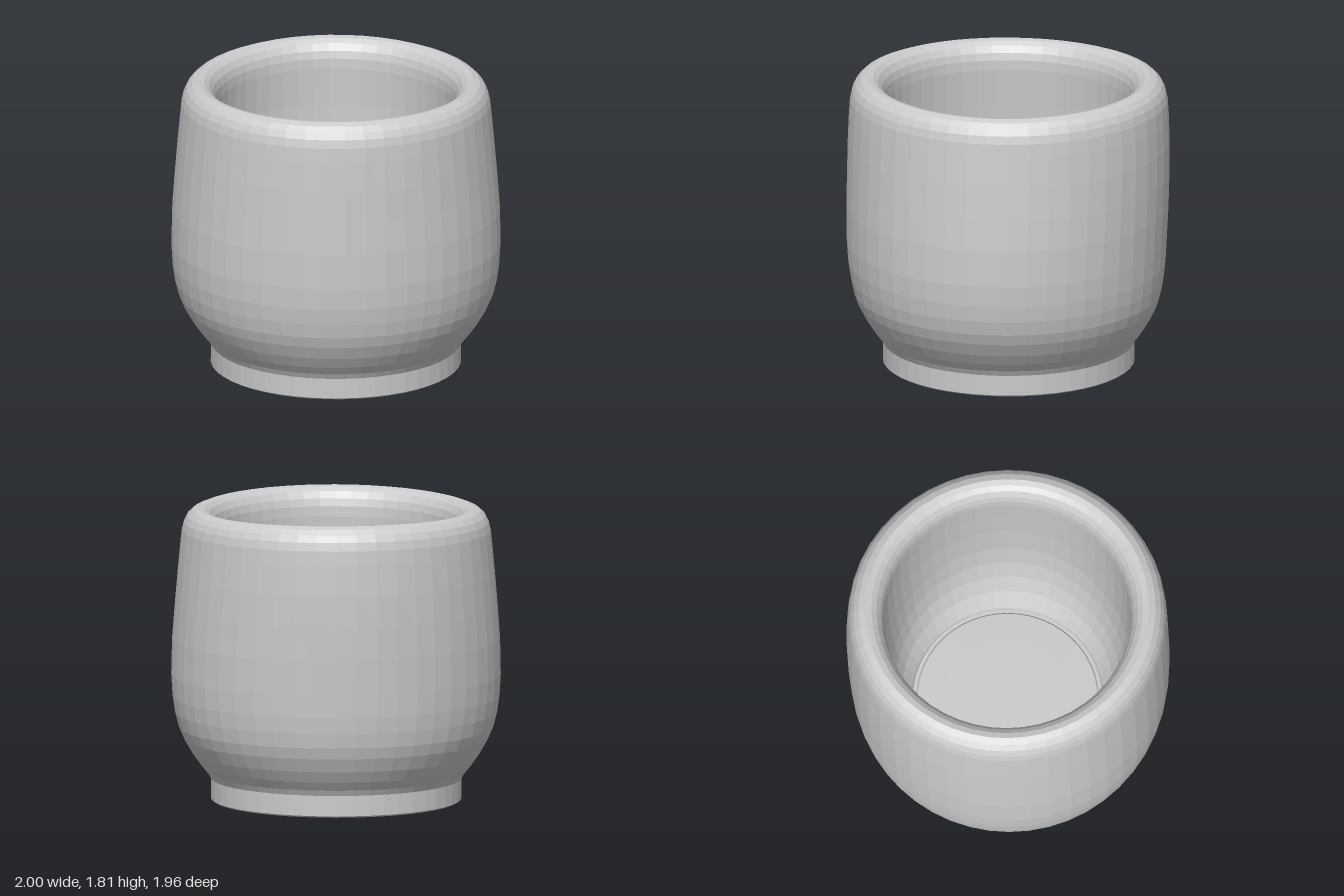
import * as THREE from 'three';

const SEGMENTS = 48;

// Stretch along z by height: slightly narrow at the belly, wider at the rim and foot
const zStretch = (y) => {
  const { smoothstep, lerp } = THREE.MathUtils;
  return y < 0.8
    ? lerp(1.005, 0.97, smoothstep(y, 0.1, 0.6))
    : lerp(0.97, 1.03, smoothstep(y, 0.7, 1.75));
};

// Turned surface, made a little oval and uneven like a hand-thrown pot
function turned(name, profile, material) {
  const geometry = new THREE.LatheGeometry(
    profile.map(([r, y]) => new THREE.Vector2(r, y)), SEGMENTS);
  const p = geometry.attributes.position;
  for (let i = 0; i < p.count; i++) {
    const x = p.getX(i), y = p.getY(i), z = p.getZ(i);
    const angle = Math.atan2(x, z);
    const lean = -0.008 + 0.013 * Math.exp(-(((y - 0.75) / 0.4) ** 2));
    const wave = y > 1.5 ? 0.007 * Math.cos(2 * angle) * (y - 1.5) / 0.3 : 0;
    p.setXYZ(i, x, y + wave, z * zStretch(y) + lean);
  }
  geometry.computeVertexNormals();
  const mesh = new THREE.Mesh(geometry, material);
  mesh.name = name;
  return mesh;
}

export function createModel() {
  const clay = new THREE.MeshStandardMaterial({ color: 0xcacaca, flatShading: true });
  clay.name = 'grey clay';

  const cup = new THREE.Group();
  cup.name = 'cup';

  // Foot ring with a slightly raised disc underneath
  cup.add(turned('foot', [
    [0, 0], [0.58, 0], [0.59, 0.01], [0.745, 0.01], [0.76, 0.02], [0.76, 0.145],
  ], clay));

  // Rounded outer wall
  cup.add(turned('outerWall', [
    [0.76, 0.145], [0.78, 0.18], [0.825, 0.235], [0.875, 0.305], [0.925, 0.39],
    [0.955, 0.46], [0.978, 0.55], [0.992, 0.65], [1, 0.78], [0.995, 1],
    [0.98, 1.2], [0.963, 1.4], [0.946, 1.58], [0.937, 1.67],
  ], clay));

  // Thick rolled rim
  cup.add(turned('rim', [
    [0.937, 1.67], [0.925, 1.72], [0.905, 1.76], [0.875, 1.79], [0.835, 1.806],
    [0.8, 1.798], [0.77, 1.775], [0.745, 1.735], [0.733, 1.69], [0.73, 1.63],
  ], clay));

  // Hollow inside, closing in toward the floor
  cup.add(turned('innerWall', [
    [0.73, 1.63], [0.742, 1.4], [0.755, 1.1], [0.755, 0.8], [0.735, 0.6],
    [0.7, 0.45], [0.65, 0.33], [0.58, 0.22],
  ], clay));

  // Inside floor with a narrow groove around it
  cup.add(turned('floor', [
    [0.58, 0.22], [0.575, 0.2], [0.555, 0.2], [0.545, 0.212], [0.4, 0.216], [0, 0.218],
  ], clay));

  return cup;
}
